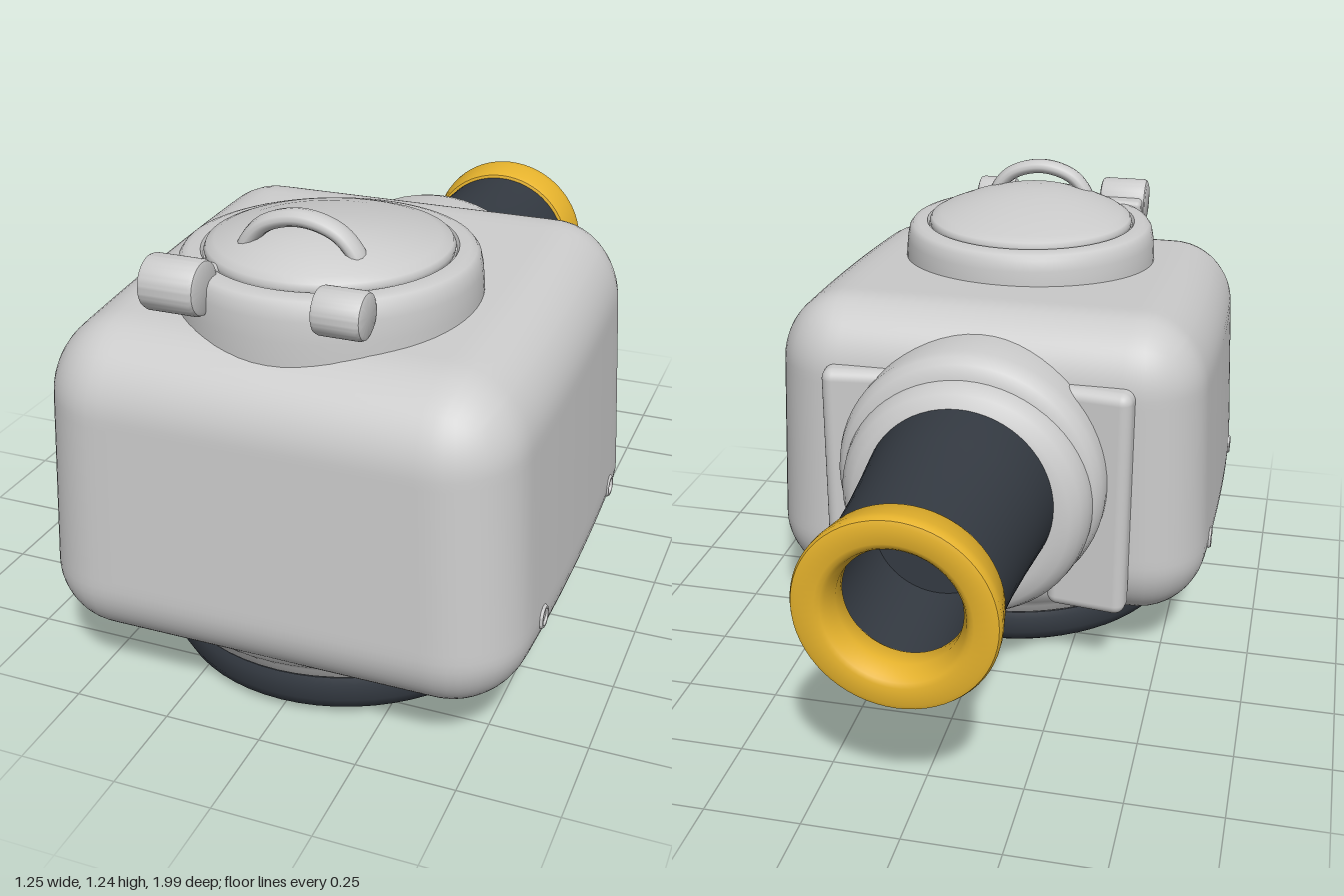
import * as THREE from 'three';
import { mergeVertices, toCreasedNormals } from 'three/addons/utils/BufferGeometryUtils.js';
import { RoundedBoxGeometry } from 'three/addons/geometries/RoundedBoxGeometry.js';

const grey = new THREE.MeshStandardMaterial({ color: 0xcccccc });
const dark = new THREE.MeshStandardMaterial({ color: 0x343a42 });
const black = new THREE.MeshStandardMaterial({ color: 0x1c2025 });
const yellow = new THREE.MeshStandardMaterial({ color: 0xe5b22c });

// Turned part from [radius, height] pairs running up the outside
function turned(points, crease = 0.75) {
  const g = new THREE.LatheGeometry(points.map(([r, h]) => new THREE.Vector2(r, h)), 64);
  return toCreasedNormals(g, crease);
}

// Turned part whose axis points backwards: heights become -z
const turnedBack = (points, crease) => turned(points, crease).rotateX(-Math.PI / 2);

// Finely divided rounded box
function softBox(w, h, d, r, n) {
  const g = new THREE.BoxGeometry(w, h, d, n, n, n);
  const p = g.attributes.position;
  const v = new THREE.Vector3(), core = new THREE.Vector3();
  const lim = new THREE.Vector3(w / 2 - r, h / 2 - r, d / 2 - r);
  for (let i = 0; i < p.count; i++) {
    v.fromBufferAttribute(p, i);
    core.copy(v).clamp(lim.clone().negate(), lim);
    v.sub(core).setLength(r).add(core);
    p.setXYZ(i, v.x, v.y, v.z);
  }
  return g;
}

// Move every vertex by a rule and rebuild smooth normals
function shaped(g, rule) {
  const p = g.attributes.position, v = new THREE.Vector3();
  for (let i = 0; i < p.count; i++) {
    rule(v.fromBufferAttribute(p, i));
    p.setXYZ(i, v.x, v.y, v.z);
  }
  g.deleteAttribute('uv');
  g.deleteAttribute('normal');
  const merged = mergeVertices(g, 1e-5);
  merged.computeVertexNormals();
  return merged;
}

export function createModel() {
  const model = new THREE.Group();
  const add = (name, geometry, material, x = 0, y = 0, z = 0) => {
    const m = new THREE.Mesh(geometry, material);
    m.name = name;
    m.position.set(x, y, z);
    model.add(m);
    return m;
  };

  // Body: narrows upwards, sides bulge, top rises to the back
  const bodyGeo = softBox(1.25, 0.845, 1.2, 0.19, 36).translate(0, 0.5725, 0.4);
  add('body', shaped(bodyGeo, (v) => {
    const up = (v.y - 0.15) / 0.845;
    const along = (v.z - 0.4) / 0.6;
    v.x *= 1 - 0.08 * Math.max(0, v.y - 0.3) - 0.035 * along * along;
    v.y += (0.4 - v.z) * 0.06 * up;
    v.z -= 0.035 * up * (along + 1) / 2;
  }), grey);

  // Round foot with a recessed sole, and the flared skirt above it
  const foot = add('foot', turned([
    [0.39, 0.012], [0.4, 0], [0.43, 0], [0.46, 0.008], [0.485, 0.025], [0.5, 0.055],
    [0.5, 0.1], [0.494, 0.118], [0.48, 0.125], [0, 0.125],
  ]), dark, 0, 0, 0.375);
  const sole = add('sole', new THREE.CircleGeometry(0.4, 64).rotateX(Math.PI / 2), black, 0, 0.01, 0.375);
  const skirt = add('skirt', turned([
    [0.48, 0.11], [0.5, 0.125], [0.505, 0.145], [0.535, 0.175], [0.565, 0.22], [0.57, 0.25], [0, 0.25],
  ]), grey, 0, 0, 0.375);
  for (const m of [foot, sole, skirt]) m.scale.set(0.98, 1, 1.02);

  // Side bolts
  for (const side of [-1, 1]) {
    for (const z of [0.07, 0.72]) {
      const bolt = add('sideBolt', turned([
        [0.03, -0.06], [0.03, 0.004], [0.026, 0.01], [0.021, 0.01], [0.018, 0.003], [0, 0.003],
      ], 0.5), grey, side * 0.612, 0.325, z);
      bolt.rotation.z = -side * Math.PI / 2;
    }
    // Plates beside the barrel mount
    const plate = add('rearPlate', new RoundedBoxGeometry(0.22, 0.65, 0.08, 5, 0.03), grey,
      side * 0.31, 0.545, -0.2);
    plate.rotation.y = side * 0.12;
  }

  // Barrel mount: upper hood collar and a lower, deeper collar
  add('mountHood', turnedBack([
    [0.35, 0.0], [0.362, 0.15], [0.362, 0.27], [0.355, 0.295], [0.34, 0.315], [0.31, 0.33], [0, 0.33],
  ]), grey, 0, 0.607, 0);
  add('mountCollar', turnedBack([
    [0.335, 0.05], [0.336, 0.32], [0.33, 0.35], [0.315, 0.378], [0.29, 0.4], [0.25, 0.41], [0, 0.41],
  ]), grey, 0, 0.577, 0);

  // Hollow barrel and its end ring
  add('barrel', turnedBack([
    [0.25, 0.35], [0.25, 0.41], [0.237, 0.55], [0.226, 0.7], [0.221, 0.82], [0.218, 0.92],
    [0.17, 0.92], [0.165, 0.6], [0, 0.6],
  ], 0.5), dark, 0, 0.612, 0);
  add('barrelRing', turnedBack([
    [0.16, 0.885], [0.215, 0.885], [0.228, 0.889], [0.234, 0.9], [0.245, 0.965], [0.246, 0.985],
    [0.241, 0.996], [0.23, 1], [0.185, 1], [0.173, 0.995], [0.165, 0.985], [0.15, 0.95],
    [0.15, 0.9], [0.16, 0.885],
  ]), yellow, 0, 0.612, 0);

  // Lid: ring and a dome that peaks towards the front
  add('lidRing', turned([
    [0.368, 0.9], [0.37, 1.0], [0.366, 1.05], [0.36, 1.08], [0.35, 1.093], [0.335, 1.098],
    [0.308, 1.098], [0.302, 1.088], [0, 1.088],
  ]), grey, 0, 0, 0.505);
  const dome = turned([
    [0.285, 1.07], [0.298, 1.085], [0.3, 1.1], [0.294, 1.112], [0.27, 1.124], [0.21, 1.145],
    [0.14, 1.162], [0.07, 1.172], [0, 1.175],
  ]);
  add('lidDome', shaped(dome, (v) => {
    v.y += 0.07 * v.z * Math.max(0, 1 - Math.hypot(v.x, v.z) / 0.3);
    v.z += 0.7 * Math.max(0, v.y - 1.11);
  }), grey, 0, 0, 0.505);

  // Arched lid handle
  const arch = new THREE.CatmullRomCurve3([
    [-0.15, 1.1], [-0.135, 1.145], [-0.09, 1.193], [0, 1.217], [0.09, 1.193], [0.135, 1.145], [0.15, 1.1],
  ].map(([x, y]) => new THREE.Vector3(x, y, 0)));
  const handle = add('lidHandle', new THREE.TubeGeometry(arch, 40, 0.021, 12), grey, 0, 0, 0.667);
  handle.scale.z = 1.45;

  // Hinge knuckles at the front of the lid, with short arms into the ring
  for (const [x, w, r, y, z] of [[-0.235, 0.142, 0.066, 1.083, 0.83], [0.17, 0.12, 0.056, 1.075, 0.832]]) {
    const c = 0.012;
    const h = w / 2;
    const knuckle = add('hingeKnuckle', turned([
      [0, -h], [r - c, -h], [r - c * 0.3, -h + c * 0.3], [r, -h + c],
      [r, h - c], [r - c * 0.3, h - c * 0.3], [r - c, h], [0, h],
    ]), grey, x, y, z);
    knuckle.rotation.z = Math.PI / 2;
    add('hingeArm', new RoundedBoxGeometry(w * 0.9, r * 1.3, 0.12, 3, 0.015), grey, x, y - 0.02, z - 0.05);
  }

  return model;
}
